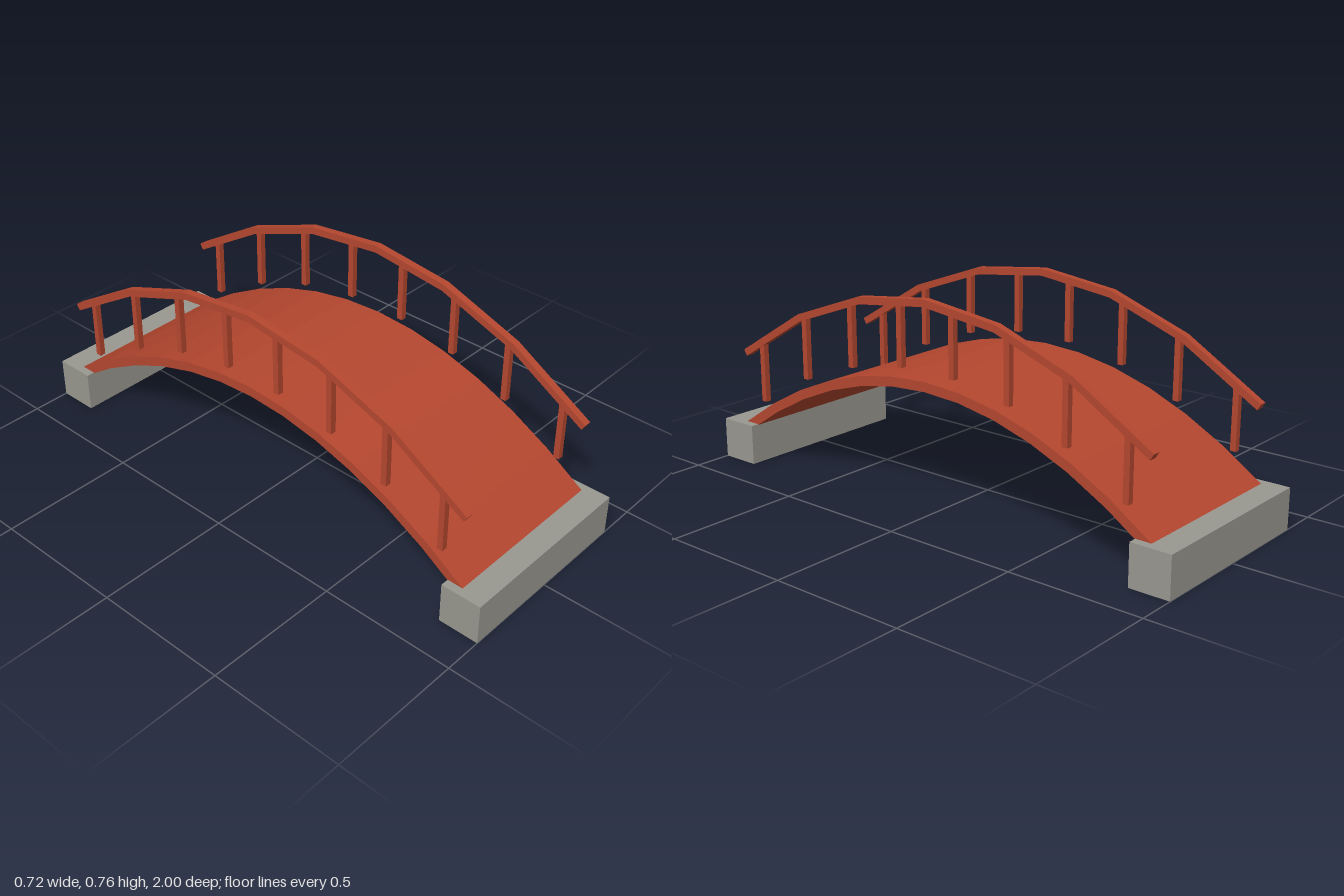
import * as THREE from 'three';

const HALF = 0.9; // half span of the arch
const RISE = 0.325;
const arch = (z, base) => base + RISE * (1 - (z / HALF) ** 2);

// Faceted arched strip of constant thickness, extruded across the bridge
function archStrip(base, segments, thickness, width) {
  const pts = [];
  for (let i = 0; i <= segments; i++) {
    const z = -HALF + (2 * HALF * i) / segments;
    pts.push(new THREE.Vector2(z, arch(z, base)));
  }
  const normal = (a, b) => new THREE.Vector2(a.y - b.y, b.x - a.x).normalize();
  const top = [], bottom = [];
  pts.forEach((p, i) => {
    const n1 = normal(pts[Math.max(i - 1, 0)], pts[Math.max(i, 1)]);
    const n2 = normal(pts[Math.min(i, segments - 1)], pts[Math.min(i + 1, segments)]);
    const n = n1.clone().add(n2).normalize();
    const offset = thickness / 2 / n.dot(n1); // mitred joint
    top.push(p.clone().addScaledVector(n, offset));
    bottom.push(p.clone().addScaledVector(n, -offset));
  });
  const shape = new THREE.Shape([...bottom, ...top.reverse()]);
  const geo = new THREE.ExtrudeGeometry(shape, { depth: width, bevelEnabled: false });
  geo.translate(0, 0, -width / 2);
  geo.rotateY(-Math.PI / 2);
  return geo;
}

export function createModel() {
  const bridge = new THREE.Group();
  bridge.name = 'archedFootbridge';
  const red = new THREE.MeshStandardMaterial({ color: 0xb5472f });
  red.name = 'redPaint';
  const stone = new THREE.MeshStandardMaterial({ color: 0x999890 });
  stone.name = 'greyStone';

  const add = (name, geo, mat, x = 0, y = 0, z = 0) => {
    const mesh = new THREE.Mesh(geo, mat);
    mesh.name = name;
    mesh.position.set(x, y, z);
    bridge.add(mesh);
  };

  // Walking deck
  const deckBase = 0.135;
  add('deck', archStrip(deckBase, 12, 0.035, 0.654), red);

  // Stone footing at each end
  const footing = new THREE.BoxGeometry(0.716, 0.15, 0.15);
  add('frontFooting', footing, stone, 0, 0.075, 0.925);
  add('backFooting', footing, stone, 0, 0.075, -0.925);

  // Handrails with their posts, one set per side
  const rail = archStrip(0.42, 6, 0.026, 0.028);
  const post = new THREE.BoxGeometry(0.022, 0.23, 0.022);
  for (const [side, s] of [['left', 1], ['right', -1]]) {
    const x = s * 0.314;
    add(side + 'Handrail', rail, red, x);
    for (let i = 0; i < 8; i++) {
      const z = 0.81 * (1 - (2 * i) / 7);
      add(side + 'Post' + (i + 1), post, red, x, arch(z, deckBase) + 0.166, z);
    }
  }
  return bridge;
}
